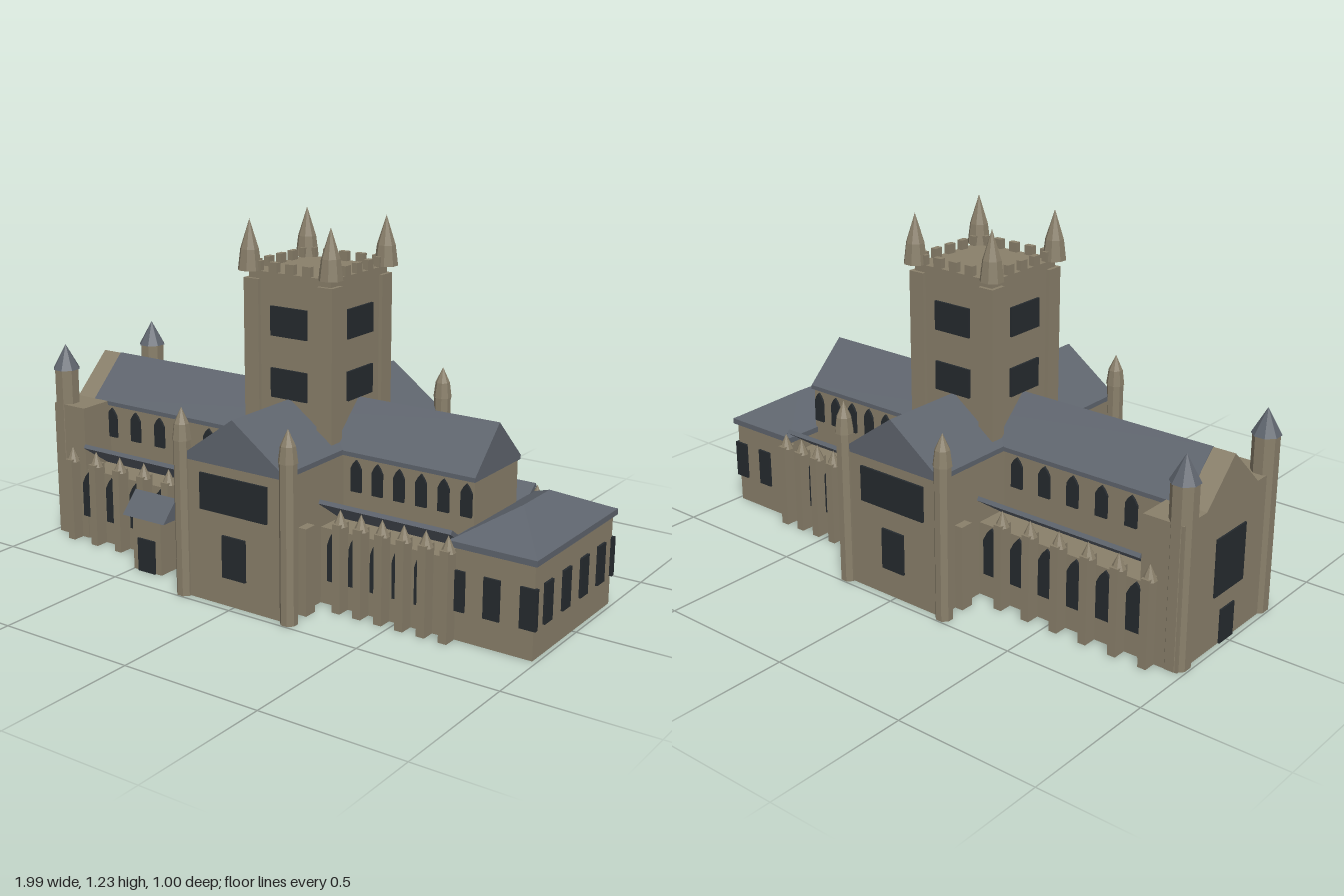
import * as THREE from 'three';

export function createModel() {
  const model = new THREE.Group();
  const mat = (color) => new THREE.MeshStandardMaterial({ color, flatShading: true });
  const stone = mat(0x8a806b), slate = mat(0x5f656e), glass = mat(0x262b2f);
  const CX = 0.005; // centre line of the crossing

  const add = (name, geo, material, x = 0, y = 0, z = 0) => {
    const m = new THREE.Mesh(geo, material);
    m.name = name;
    m.position.set(x, y, z);
    model.add(m);
    return m;
  };
  // Box given by its limits on each axis
  const block = (name, material, x0, x1, y0, y1, z0, z1) =>
    add(name, new THREE.BoxGeometry(x1 - x0, y1 - y0, z1 - z0), material,
      (x0 + x1) / 2, (y0 + y1) / 2, (z0 + z1) / 2);
  // Octagonal or square tapered shaft
  const taper = (name, material, x, y0, y1, z, r0, r1, sides = 8) => {
    const g = new THREE.CylinderGeometry(r1, r0, y1 - y0, sides);
    g.rotateY(Math.PI / sides);
    return add(name, g, material, x, (y0 + y1) / 2, z);
  };
  // Triangular prism whose ridge runs along z
  const prism = (half, height, length) => {
    const s = new THREE.Shape([[-half, 0], [half, 0], [0, height]].map((p) => new THREE.Vector2(...p)));
    return new THREE.ExtrudeGeometry(s, { depth: length, bevelEnabled: false }).translate(0, 0, -length / 2);
  };
  const prismX = (name, material, x0, x1, y, z, half, height) =>
    add(name, prism(half, height, x1 - x0).rotateY(Math.PI / 2), material, (x0 + x1) / 2, y, z);
  // Pointed window facing +z or -z
  const lancet = (name, x, y0, y1, z, side, w) => {
    const h = y1 - y0, s = new THREE.Shape();
    s.moveTo(-w / 2, 0).lineTo(w / 2, 0).lineTo(w / 2, h * 0.72);
    s.lineTo(w * 0.28, h * 0.88).lineTo(0, h).lineTo(-w * 0.28, h * 0.88).lineTo(-w / 2, h * 0.72);
    const g = new THREE.ExtrudeGeometry(s, { depth: 0.016, bevelEnabled: false }).translate(0, 0, -0.008);
    add(name, g, glass, x, y0, z * side);
  };
  // Stout body narrowing to a spire
  const pinnacle = (name, x, y, z, r, body, spire) => {
    taper(name + 'Body', stone, x, y, y + body, z, r, r * 0.78);
    taper(name + 'Spire', stone, x, y + body, y + body + spire, z, r * 0.78, 0);
  };

  // Nave and aisles
  block('nave', stone, -0.9, 0.7, 0, 0.485, -0.14, 0.14);
  block('naveEaves', slate, -0.9, 0.705, 0.48, 0.495, -0.15, 0.15);
  prismX('naveRoof', slate, -0.9, 0.705, 0.494, 0, 0.15, 0.146);
  block('aisles', stone, -0.9, 0.72, 0, 0.265, -0.27, 0.27);
  const bays = [];
  for (let i = 0; i < 6; i++) bays.push({ x: -0.82 + 0.114 * i, w: 0.066, c: 0.045 });
  for (let i = 0; i < 6; i++) bays.push({ x: 0.258 + 0.083 * i, w: 0.044, c: 0.04 });
  for (const s of [1, -1]) {
    const roof = add('aisleRoof', new THREE.BoxGeometry(1.535, 0.015, 0.158), slate, -0.0675, 0.31, 0.215 * s);
    roof.rotation.x = -0.605 * s;
    for (const b of bays) {
      if (b.x < 0.65) lancet('aisleWindow', b.x, 0.085, 0.26, 0.27, s, b.w);
      if (b.x < 0.68) lancet('clerestoryWindow', b.x, 0.36, 0.47, 0.14, s, b.c);
    }
    for (let i = 0; i < 12; i++) {
      const x = i < 6 ? -0.88 + 0.114 * i : 0.298 + 0.08 * (i - 6);
      const z = 0.293 * s;
      block('buttress', stone, x - 0.015, x + 0.015, 0, 0.305, z - 0.026, z + 0.026);
      taper('buttressCap', stone, x, 0.295, 0.35, z, 0.025, 0);
    }
  }

  // West front with gable, great window, door and stair turrets
  block('westFront', stone, -0.98, -0.835, 0, 0.495, -0.275, 0.275);
  prismX('westGable', stone, -0.98, -0.895, 0.494, 0, 0.15, 0.144);
  block('westWindow', glass, -0.986, -0.97, 0.18, 0.38, -0.085, 0.085);
  block('westDoor', glass, -0.986, -0.97, 0, 0.12, -0.04, 0.04);
  for (const s of [1, -1]) {
    taper('westTurret', stone, -0.952, 0, 0.625, 0.235 * s, 0.045, 0.045);
    taper('westTurretSpire', slate, -0.952, 0.62, 0.71, 0.235 * s, 0.05, 0);
  }

  // Transept
  block('transept', stone, CX - 0.2, CX + 0.2, 0, 0.485, -0.472, 0.472);
  block('transeptEaves', slate, CX - 0.203, CX + 0.203, 0.48, 0.497, -0.476, 0.476);
  add('transeptRoof', prism(0.203, 0.146, 0.952), slate, CX, 0.496, 0);
  for (const sz of [1, -1]) {
    for (const [hw, y0, y1] of [[0.136, 0.32, 0.445], [0.047, 0.1, 0.245]]) {
      add('transeptWindow', new THREE.BoxGeometry(hw * 2, y1 - y0, 0.016), glass, CX, (y0 + y1) / 2, 0.472 * sz);
    }
    for (const sx of [1, -1]) {
      const x = CX + 0.215 * sx, z = 0.468 * sz;
      taper('transeptTurret', stone, x, 0, 0.55, z, 0.03, 0.03);
      pinnacle('transeptPinnacle', x, 0.54, z, 0.033, 0.055, 0.055);
      add('transeptButtress', new THREE.BoxGeometry(0.06, 0.3, 0.05), stone, CX + 0.2 * sx, 0.15, 0.37 * sz);
    }
  }

  // Crossing tower
  block('tower', stone, CX - 0.165, CX + 0.165, 0.3, 1.06, -0.165, 0.165);
  for (let k = 0; k < 4; k++) {
    const side = new THREE.Group();
    side.name = 'towerSide';
    side.position.x = CX;
    side.rotation.y = k * Math.PI / 2;
    model.add(side);
    const put = (name, w, h, d, m, x, y, z) => side.add(add(name, new THREE.BoxGeometry(w, h, d), m, x, y, z));
    put('towerCornerPier', 0.06, 0.525, 0.06, stone, 0.148, 0.7725, 0.148);
    for (const y of [0.69, 0.9]) put('towerWindow', 0.146, 0.1, 0.016, glass, 0, y, 0.165);
    for (let i = -2; i <= 2; i++) put('merlon', 0.033, 0.04, 0.02, stone, i * 0.067, 1.073, 0.155);
  }
  for (const sx of [1, -1]) for (const sz of [1, -1]) {
    pinnacle('towerPinnacle', CX + 0.163 * sx, 1.06, 0.163 * sz, 0.041, 0.07, 0.1);
  }

  // East chapel with hipped roof
  block('eastChapel', stone, 0.7, 0.985, 0, 0.315, -0.27, 0.27);
  block('chapelEaves', slate, 0.692, 0.996, 0.31, 0.33, -0.283, 0.283);
  const hip = new THREE.BoxGeometry(0.304, 0.09, 0.566).toNonIndexed();
  const p = hip.attributes.position;
  for (let i = 0; i < p.count; i++) {
    if (p.getY(i) > 0) { // draw the top in to a ridge
      p.setX(i, 0);
      p.setZ(i, Math.sign(p.getZ(i)) * 0.088);
    }
  }
  hip.computeVertexNormals();
  add('chapelRoof', hip, slate, 0.844, 0.374, 0);
  for (const z of [-0.185, -0.062, 0.062, 0.185]) {
    block('chapelEastWindow', glass, 0.975, 0.993, 0.1, 0.235, z - 0.026, z + 0.026);
  }
  for (const s of [1, -1]) for (const x of [0.72, 0.842, 0.967]) {
    add('chapelSideWindow', new THREE.BoxGeometry(0.056, 0.135, 0.016), glass, x, 0.1675, 0.27 * s);
  }

  // Porch
  block('porch', stone, -0.5, -0.375, 0, 0.2, 0.26, 0.4);
  prismX('porchRoof', slate, -0.53, -0.345, 0.197, 0.348, 0.07, 0.075);
  block('porchDoor', glass, -0.475, -0.4, 0, 0.12, 0.39, 0.407);

  return model;
}
